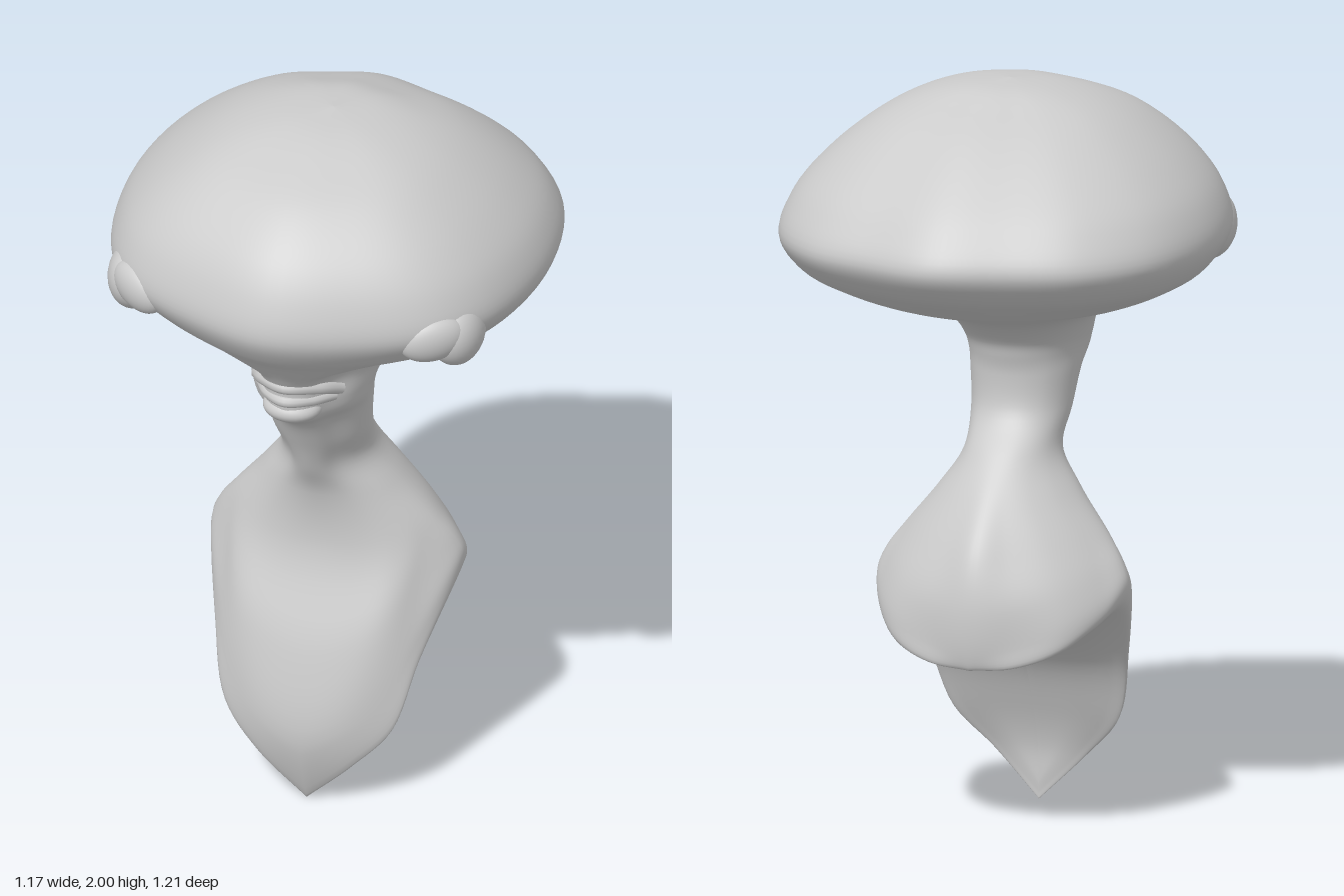
import * as THREE from 'three';

const SUB = 6; // samples between neighbouring key points
const mat = new THREE.MeshStandardMaterial({ color: 0xcccccc });
const V = (x, y, z) => new THREE.Vector3(x, y, z);

// Half outlines seen from above, front to back, as [x, z] of a unit shape
const SKULL = [[0, 1], [.41, .89], [.74, .71], [.915, .45], [1, -.04], [.9, -.5], [.65, -.79], [.32, -.92], [0, -1]];
const FACE = [[0, 1], [.28, .92], [.54, .67], [.84, .36], [1, 0], [.92, -.45], [.7, -.76], [.38, -.94], [0, -1]];

// Head and neck levels: y, half width, front z, back z, blend from skull to face outline
const LEVELS = [
  [2, 0, .03, .03, 0], [1.988, .13, .165, -.1, 0], [1.955, .245, .285, -.195, 0],
  [1.9, .35, .415, -.32, 0], [1.8, .475, .53, -.455, 0], [1.7, .555, .588, -.552, 0],
  [1.6, .583, .608, -.605, 0], [1.52, .54, .565, -.545, .2], [1.47, .465, .515, -.455, .5],
  [1.43, .375, .48, -.36, .8], [1.39, .24, .45, -.21, 1], [1.35, .19, .428, -.09, 1],
  [1.29, .165, .425, -.025, 1], [1.25, .155, .41, -.01, 1], [1.2, .146, .34, 0, 1],
  [1.1, .134, .28, -.01, 1], [1, .128, .235, -.09, 1],
];

// Chest levels: half rings, front to back
const CHEST = [
  [[0, .9, .19], [.06, .9, .18], [.12, .9, .15], [.17, .9, .1], [.19, .9, .03], [.165, .9, -.06], [.115, .9, -.12], [.055, .9, -.155], [0, .9, -.17]],
  [[0, .72, .178], [.1, .72, .172], [.19, .74, .145], [.25, .77, .09], [.278, .79, .02], [.245, .79, -.08], [.18, .78, -.165], [.085, .77, -.225], [0, .77, -.26]],
  [[0, .45, .27], [.11, .48, .255], [.2, .54, .215], [.265, .63, .13], [.328, .72, 0], [.295, .7, -.1], [.225, .67, -.2], [.115, .65, -.265], [0, .64, -.298]],
  [[0, .2, .31], [.11, .25, .295], [.215, .34, .24], [.275, .48, .165], [.347, .67, -.01], [.315, .62, -.12], [.24, .57, -.22], [.12, .53, -.275], [0, .51, -.3]],
];
// Lower rim of the chest, and the middle line of its underside
const RIM = [[0, .003, .25], [.13, .13, .265], [.23, .24, .23], [.28, .42, .16], [.336, .615, -.02], [.3, .575, -.13], [.225, .515, -.225], [.115, .478, -.275], [0, .467, -.288]];
const KEEL = [[0, .05, .247], [0, .15, .243], [0, .27, .205], [0, .41, .13], [0, .5, 0], [0, .513, -.09], [0, .5, -.16], [0, .487, -.21], [0, .478, -.245]];

// Smooth a half ring and mirror it; sharp rings keep a point at front and back
function ring(half, sharp) {
  const pts = half.map(p => V(...p));
  const n = (pts.length - 1) * SUB;
  const mirrored = pts.slice(1, -1).reverse().map(p => V(-p.x, p.y, p.z));
  const curve = sharp ? new THREE.CatmullRomCurve3(pts)
    : new THREE.CatmullRomCurve3([...pts, ...mirrored], true);
  const side = [];
  for (let i = 0; i <= n; i++) side.push(curve.getPoint(sharp ? i / n : i / (2 * n)));
  return [...side, ...side.slice(1, -1).reverse().map(p => V(-p.x, p.y, p.z))];
}

// Skin a stack of closed rings, top to bottom
function loft(rings) {
  const cols = rings[0].length, rows = (rings.length - 1) * SUB;
  const pos = [], index = [];
  const curves = rings[0].map((_, c) => new THREE.CatmullRomCurve3(rings.map(r => r[c])));
  for (let r = 0; r <= rows; r++) {
    for (let c = 0; c < cols; c++) {
      const p = curves[c].getPoint(r / rows);
      pos.push(p.x, Math.max(0, p.y), p.z);
      if (r === rows) continue;
      const a = r * cols + c, d = r * cols + (c + 1) % cols;
      index.push(a, a + cols, d, d, a + cols, d + cols);
    }
  }
  const g = new THREE.BufferGeometry();
  g.setAttribute('position', new THREE.Float32BufferAttribute(pos, 3));
  g.setIndex(index);
  g.computeVertexNormals();
  return g;
}

function add(parent, name, geometry) {
  const mesh = new THREE.Mesh(geometry, mat);
  mesh.name = name;
  parent.add(mesh);
  return mesh;
}

function ball(parent, name, centre, radii) {
  const mesh = add(parent, name, new THREE.SphereGeometry(1, 32, 20));
  mesh.position.set(...centre);
  mesh.scale.set(...radii);
}

function tube(parent, name, points, radius) {
  const curve = new THREE.CatmullRomCurve3(points.map(p => V(...p)));
  add(parent, name, new THREE.TubeGeometry(curve, 32, radius, 10));
}

export function createModel() {
  const model = new THREE.Group();
  model.name = 'alienBust';

  // Head, neck and chest as one continuous skin
  const rings = LEVELS.map(([y, w, zf, zb, k]) => ring(SKULL.map(([sx, sz], i) => {
    const x = sx + (FACE[i][0] - sx) * k, z = sz + (FACE[i][1] - sz) * k;
    return [x * w, y, (zf + zb) / 2 + z * (zf - zb) / 2];
  }), false));
  CHEST.forEach(half => rings.push(ring(half, false)));
  // Underside: rounds over the rim, then levels out towards the middle line
  const inner = t => RIM.map((p, i) => p.map((v, j) => v + (KEEL[i][j] - v) * (j ? 1 - (1 - t) ** 3 : t)));
  [0, .15, .5, 1].forEach(t => rings.push(ring(inner(t), true)));
  add(model, 'headNeckAndChest', loft(rings));

  // Slanted eyes in their sockets, and small ear knobs
  for (const s of [1, -1]) {
    const side = s > 0 ? 'left' : 'right';
    const eye = new THREE.Group();
    eye.name = side + 'Eye';
    eye.position.set(s * .408, 1.59, .42);
    eye.rotation.set(.1, s * .6, s * .15, 'YXZ');
    ball(eye, 'eyeball', [0, 0, 0], [.092, .066, .046]);
    model.add(eye);
    ball(model, side + 'EyeSocket', [s * .445, 1.575, .33], [.073, .095, .1]);
    ball(model, side + 'Ear', [s * .17, 1.385, .18], [.042, .045, .042]);
  }

  // Mouth and chin, partly sunk into the face
  tube(model, 'upperLip', [[-.115, 1.32, .31], [-.075, 1.35, .378], [0, 1.363, .428], [.075, 1.35, .378], [.115, 1.32, .31]], .018);
  tube(model, 'lowerLip', [[-.1, 1.3, .32], [-.06, 1.312, .385], [0, 1.318, .425], [.06, 1.312, .385], [.1, 1.3, .32]], .015);
  ball(model, 'chin', [0, 1.275, .362], [.08, .04, .07]);
  return model;
}
